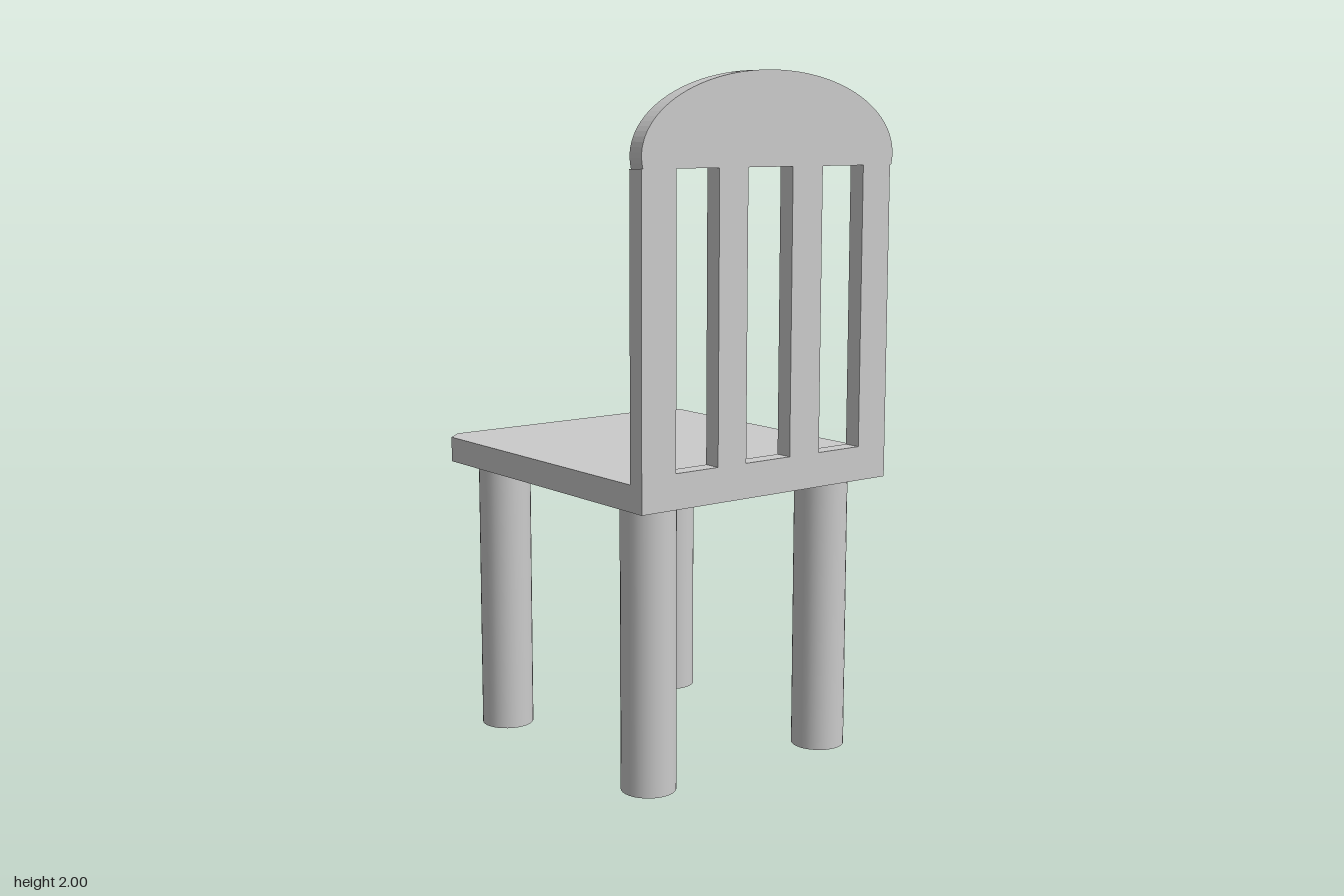
import * as THREE from 'three';

const material = new THREE.MeshStandardMaterial({ color: 0xcccccc });

function addMesh(group, name, geometry, x = 0, y = 0, z = 0) {
  const mesh = new THREE.Mesh(geometry, material);
  mesh.name = name;
  mesh.position.set(x, y, z);
  group.add(mesh);
  return mesh;
}

function polygon(points, Type = THREE.Shape) {
  return new Type(points.map(([x, y]) => new THREE.Vector2(x, y)));
}

export function createModel() {
  const chair = new THREE.Group();
  chair.name = 'chair';

  // Seat: a slab with its two free corners cut off (shape y becomes -z)
  const seatShape = polygon([
    [-0.45, -0.46], [0.445, -0.46], [0.445, 0.465],
    [0.4, 0.512], [-0.4, 0.512], [-0.45, 0.465],
  ]);
  const seat = new THREE.ExtrudeGeometry(seatShape, { depth: 0.075, bevelEnabled: false });
  seat.rotateX(-Math.PI / 2);
  addMesh(chair, 'seat', seat, 0, 0.83, 0);

  // Backrest: a panel with an overhanging arched top and three slots
  const back = new THREE.Shape();
  back.moveTo(-0.45, 0.83);
  back.lineTo(0.44, 0.83);
  back.lineTo(0.44, 1.74);
  back.absellipse(0, 1.772, 0.449, 0.228, -0.14, Math.PI + 0.14, false);
  back.lineTo(-0.45, 1.74);
  for (const [x0, x1] of [[-0.335, -0.19], [-0.09, 0.07], [0.18, 0.335]]) {
    back.holes.push(polygon([[x0, 0.93], [x0, 1.74], [x1, 1.74], [x1, 0.93]], THREE.Path));
  }
  const backGeometry = new THREE.ExtrudeGeometry(back, {
    depth: 0.052, bevelEnabled: false, curveSegments: 28,
  });
  addMesh(chair, 'backrest', backGeometry, 0, 0, 0.46);

  // Four round legs
  const leg = new THREE.CylinderGeometry(0.079, 0.079, 0.83, 32);
  for (const x of [-0.322, 0.32]) {
    for (const z of [-0.365, 0.37]) {
      addMesh(chair, z > 0 ? 'legUnderBackrest' : 'legUnderFreeEdge', leg, x, 0.415, z);
    }
  }

  return chair;
}
